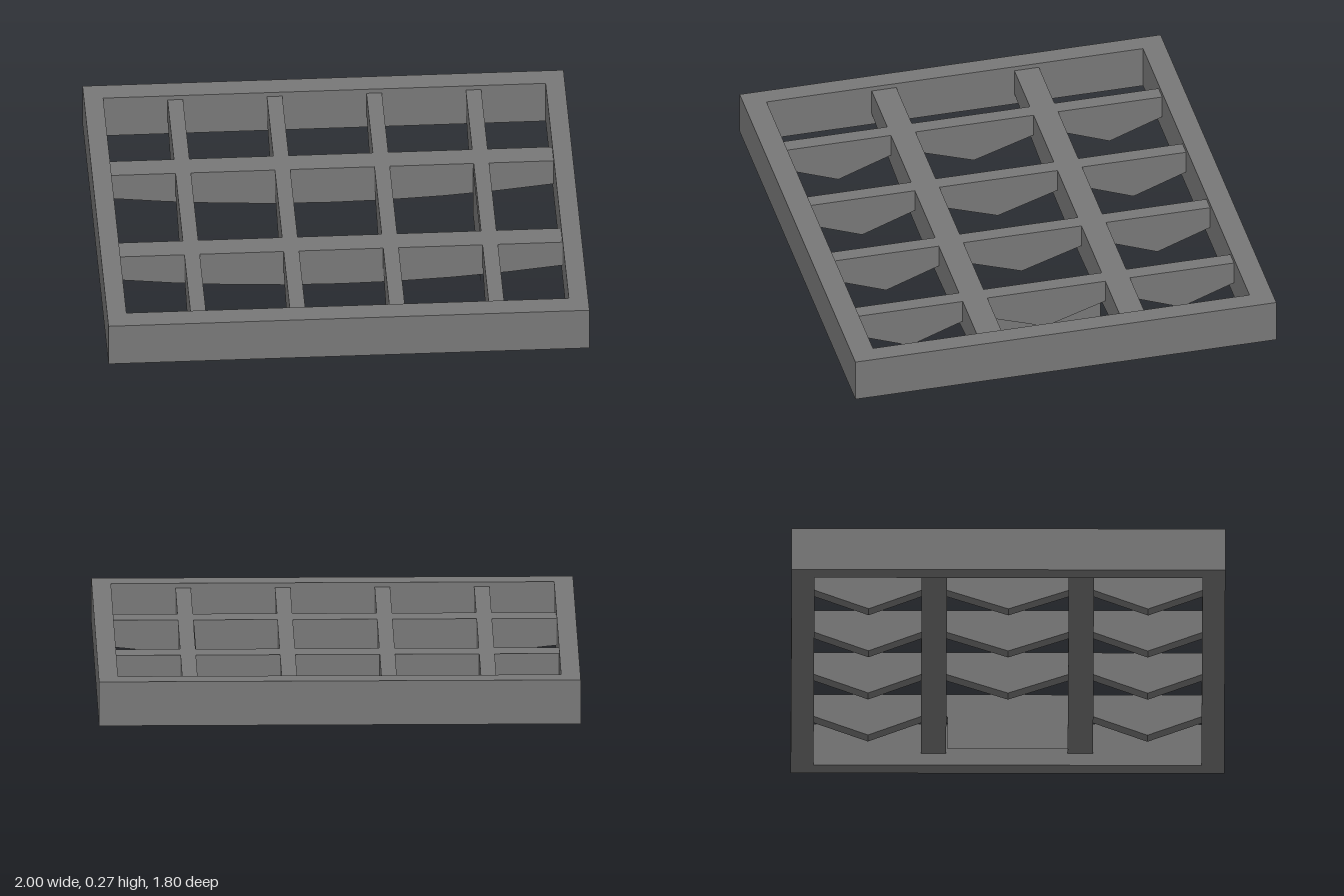
import * as THREE from 'three';

export function createModel() {
  const model = new THREE.Group();
  const steel = new THREE.MeshStandardMaterial({ color: 0x777777 });
  const steelSheet = new THREE.MeshStandardMaterial({ color: 0x777777, side: THREE.DoubleSide });

  const add = (name, geometry, material = steel) => {
    const mesh = new THREE.Mesh(geometry, material);
    mesh.name = name;
    model.add(mesh);
    return mesh;
  };
  const shapeOf = (pts) => new THREE.Shape(pts.map(([x, y]) => new THREE.Vector2(x, y)));
  const extrude = (shape, depth) =>
    new THREE.ExtrudeGeometry(shape, { depth, bevelEnabled: false });

  const barTop = 0.25;

  // Outer frame with one large opening
  const outline = shapeOf([[-1, -0.9], [1, -0.9], [1, 0.9], [-1, 0.9]]);
  outline.holes.push(shapeOf([[-0.92, -0.805], [-0.92, 0.805], [0.92, 0.805], [0.92, -0.805]]));
  add('outerFrame', extrude(outline, 0.188).rotateX(-Math.PI / 2).translate(0, 0.082, 0));

  // Long cross rails, slightly deeper towards the middle
  const railPoints = [[0.92, barTop], [-0.92, barTop]];
  for (let i = -4; i <= 4; i++) {
    const t = i / 4;
    railPoints.push([t * 0.92, 0.08 + 0.055 * t * t]);
  }
  for (const z of [-0.36, 0.25]) {
    add('crossRail', extrude(shapeOf(railPoints), 0.105).translate(0, 0, z));
  }

  // Short bars in each bay, with a V-shaped lower edge
  const bays = [[-0.805, -0.36, -0.58], [-0.255, 0.25, 0], [0.355, 0.805, 0.58]];
  for (const x of [-0.62, -0.207, 0.207, 0.62]) {
    for (const [z0, z1, peak] of bays) {
      const profile = shapeOf([
        [-z0, barTop], [-z1, barTop], [-z1, 0.15], [-peak, 0.065], [-z0, 0.15],
      ]);
      add('vBar', extrude(profile, 0.064).rotateY(Math.PI / 2).translate(x - 0.032, 0, 0));
    }
  }

  // Thin plate hanging beside one bar in the middle bay
  const plate = add('hangingPlate', new THREE.PlaneGeometry(0.5, 0.24), steelSheet);
  plate.rotation.y = Math.PI / 2;
  plate.position.set(0.585, 0.12, 0);

  return model;
}
